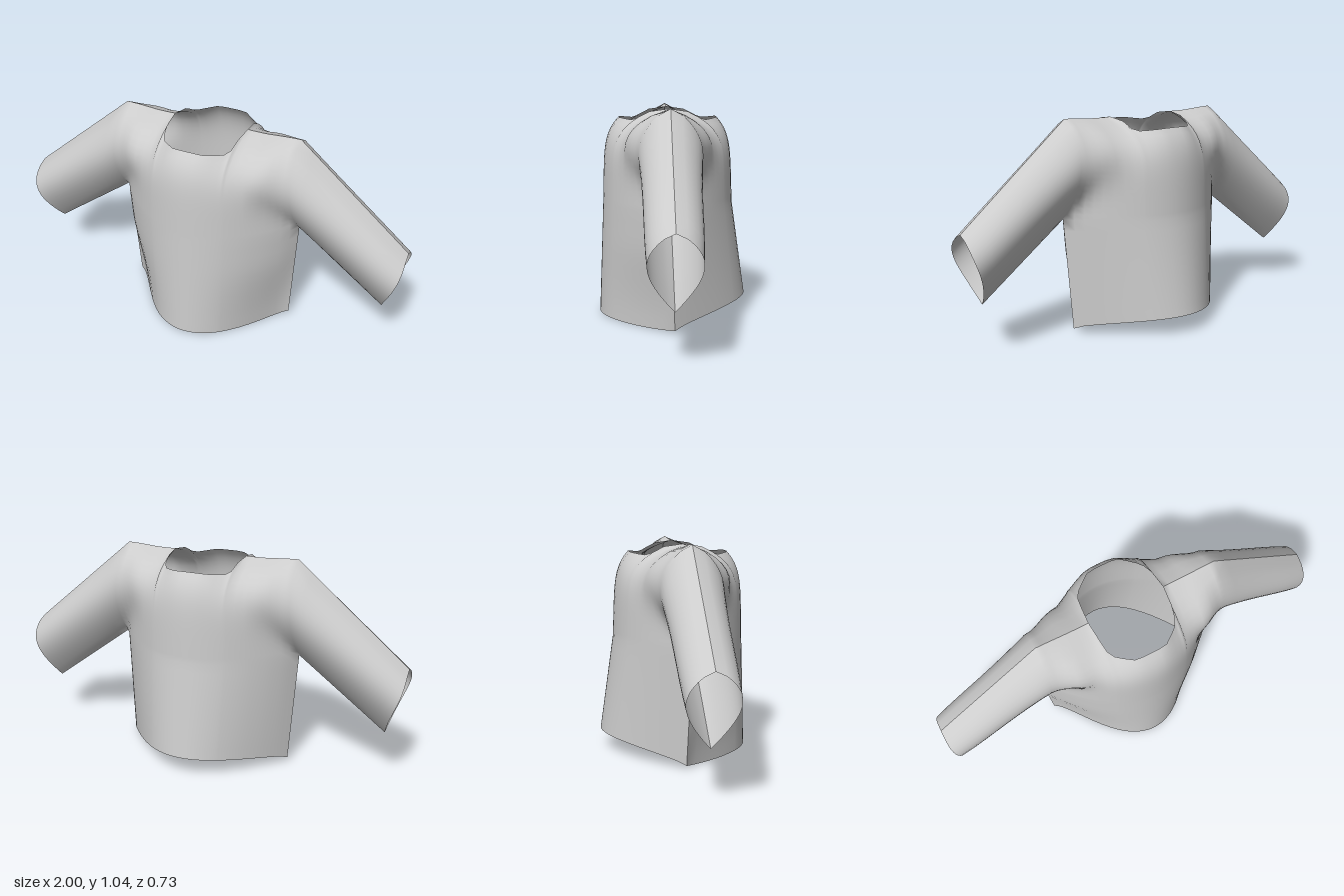
import * as THREE from 'three';

const lerp = THREE.MathUtils.lerp;
const smooth = THREE.MathUtils.smoothstep;

// Half-panel columns on the body: [x, top edge y, neck opening half depth]
const BODY = [
  [0, 0.99, 0.24], [0.04, 0.99, 0.24], [0.08, 0.988, 0.235], [0.12, 0.983, 0.205],
  [0.152, 0.98, 0.178], [0.172, 0.99, 0.145], [0.182, 1.02, 0.09], [0.19, 1.033, 0],
  [0.22, 1.032, 0], [0.26, 1.032, 0], [0.3, 1.033, 0], [0.34, 1.036, 0],
  [0.37, 1.038, 0], [0.4, 1.04, 0], [0.43, 1.041, 0], [0.46, 1.042, 0],
];
const EDGE = BODY.length - 1;    // column of the armhole
const SLEEVE = 8;                // columns along the sleeve
const LOW = 10, HIGH = 16;       // rows below and above the armpit
const ARMPIT = 0.57;
const LAST = EDGE + SLEEVE;

// Lens-shaped sleeve section, from underarm seam (0) to top seam (1)
const lens = (w, skew) => Math.pow(Math.max(0, Math.sin(Math.PI * Math.pow(w, skew))), 0.68);

// Point on the left half of the front (side 1) or back (side -1) panel
function panelPoint(col, row, side) {
  const upper = row >= LOW;
  const w = upper ? (row - LOW) / HIGH : 0;
  if (col > EDGE) {
    const s = (col - EDGE) / SLEEVE;
    const x = lerp(lerp(0.47, 0.91, s), lerp(0.45, 1.0, s), w) + 0.018 * s * Math.sin(Math.PI * w * w);
    const y = lerp(lerp(ARMPIT, 0.245, s), lerp(1.042, 0.582, s), w);
    const depth = 0.124 + 0.021 * Math.pow(1 - s, 3) - 0.01 * Math.pow(s, 6);
    return [x, y, 0.02 + side * depth * lens(w, lerp(1.2, 1.35, s))];
  }
  const [X, top, neck] = BODY[col];
  const u = X / 0.46;
  const v = upper ? 1 : row / LOW;
  // The front hem pulls in towards its corners, the back stays full
  const power = side > 0
    ? lerp(1 + 0.35 * u * u, 0.82, smooth(v, 0, 0.75))
    : lerp(0.93, 0.82, v);
  const round = Math.pow(Math.max(0, Math.cos(u * Math.PI / 2)), power);
  const centre = side > 0
    ? lerp(0.364, 0.322, v) - 0.01 * w
    : lerp(0.37, 0.322, v) - 0.014 * w;
  const depth = centre * round;
  if (!upper) {
    const hem = side > 0 ? 0.02 - 0.018 * Math.sin(Math.PI * Math.pow(round, 0.6) * 0.8)
      : 0.02 + 0.08 * Math.pow(round, 0.7);
    return [u * lerp(0.435, 0.47, v), lerp(hem, ARMPIT, v), lerp(0, 0.02, v) + side * depth];
  }
  // Chest rolls over into the neckline or shoulder and blends into the sleeve
  const chest = Math.max(0, neck + (depth - neck) * (1 - Math.pow(w, 6)));
  const out = smooth(X, 0.3, 0.46);
  const arm = lerp(side > 0 ? 0.192 : 0.175, 0.145, out) * smooth(X, 0.15, 0.32) * lens(w, lerp(1.6, 1.2, out));
  const z = Math.pow(chest ** 5 + arm ** 5, 1 / 5);
  return [u * lerp(0.47, lerp(0.46, 0.45, u), w), lerp(ARMPIT, top, w), 0.02 + side * z];
}

// One panel: shared smooth points, divided into body and two sleeves
function makePanel(side, name, material) {
  const rows = LOW + HIGH + 1;
  const positions = [];
  for (let c = -LAST; c <= LAST; c++) {
    for (let r = 0; r < rows; r++) {
      const [x, y, z] = panelPoint(Math.abs(c), r, side);
      positions.push(Math.sign(c) * x, y, z);
    }
  }
  const quads = (from, to, firstRow) => {
    const index = [];
    for (let c = from; c < to; c++) {
      for (let r = firstRow; r < rows - 1; r++) {
        const a = (c + LAST) * rows + r, b = a + rows;
        if (side > 0) index.push(a, b, b + 1, a, b + 1, a + 1);
        else index.push(a, b + 1, b, a, a + 1, b + 1);
      }
    }
    return index;
  };
  const parts = {
    Body: quads(-EDGE, EDGE, 0),
    RightSleeve: quads(-LAST, -EDGE, LOW),
    LeftSleeve: quads(EDGE, LAST, LOW),
  };
  const whole = new THREE.BufferGeometry();
  whole.setAttribute('position', new THREE.Float32BufferAttribute(positions, 3));
  whole.setIndex(Object.values(parts).flat());
  whole.computeVertexNormals();

  const panel = new THREE.Group();
  panel.name = name + 'Panel';
  for (const [part, index] of Object.entries(parts)) {
    const geometry = new THREE.BufferGeometry();
    geometry.setAttribute('position', whole.getAttribute('position'));
    geometry.setAttribute('normal', whole.getAttribute('normal'));
    geometry.setIndex(index);
    const mesh = new THREE.Mesh(geometry, material);
    mesh.name = name + part;
    panel.add(mesh);
  }
  return panel;
}

export function createModel() {
  const fabric = new THREE.MeshStandardMaterial({ color: 0xcccccc, side: THREE.DoubleSide });
  fabric.name = 'grey fabric';
  const shirt = new THREE.Group();
  shirt.name = 'shirt';
  shirt.add(makePanel(1, 'front', fabric), makePanel(-1, 'back', fabric));
  return shirt;
}
